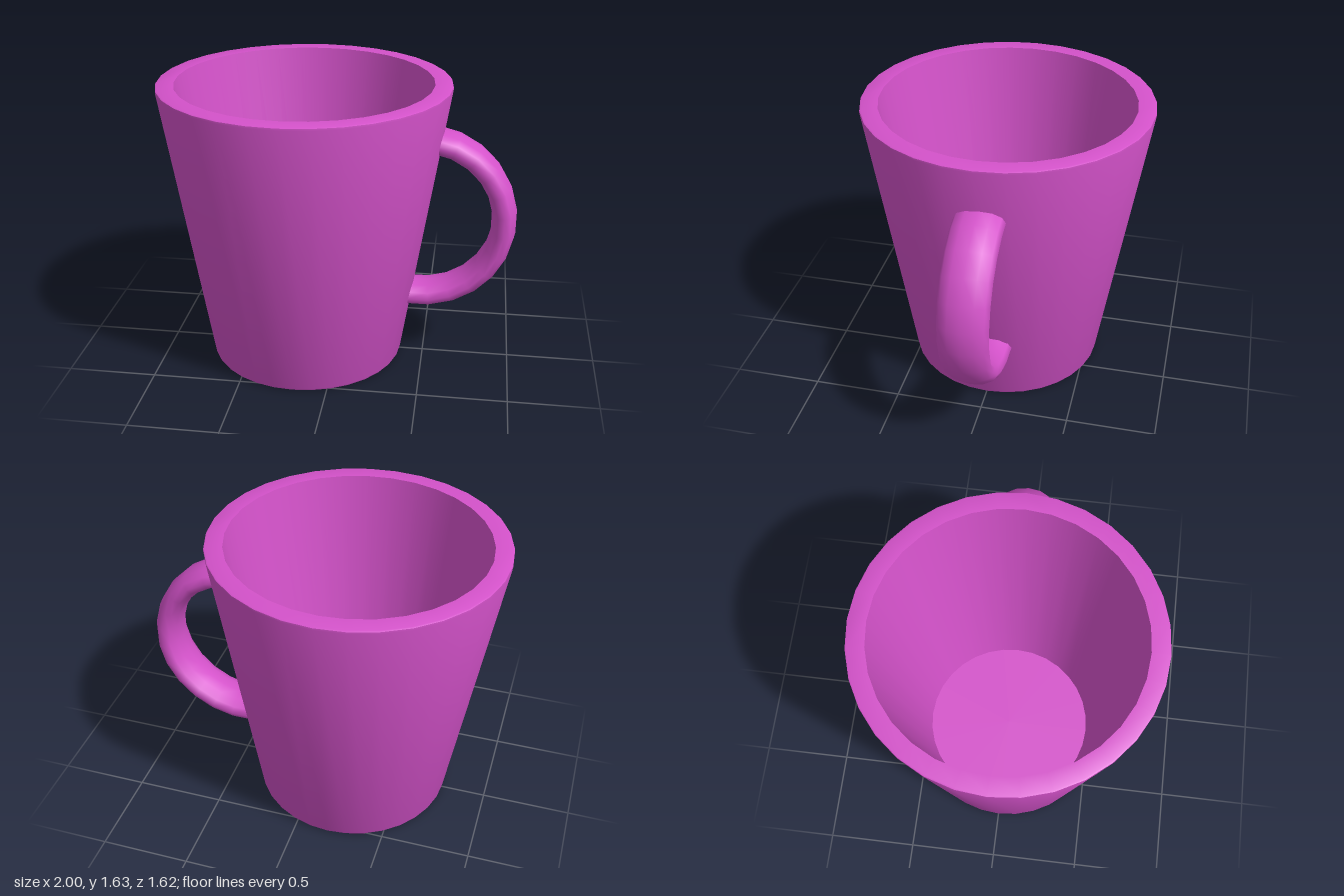
import * as THREE from 'three';
import { toCreasedNormals } from 'three/addons/utils/BufferGeometryUtils.js';

export function createModel() {
  const model = new THREE.Group();
  model.name = 'mug';
  const glaze = new THREE.MeshStandardMaterial({ color: 0xd452ca });
  glaze.name = 'pink glaze';

  // Hollow tapered cup: underside, outer wall, rim, inner wall, floor
  const profile = [
    [0, 0], [0.54, 0], [0.55, 0.004], [0.556, 0.015],
    [0.809, 1.615], [0.808, 1.626], [0.8, 1.63],
    [0.71, 1.63], [0.48, 0.16], [0, 0.16],
  ].map(([r, y]) => new THREE.Vector2(r, y));
  const cup = new THREE.Mesh(
    toCreasedNormals(new THREE.LatheGeometry(profile, 32), Math.PI / 6), glaze);
  cup.name = 'cup';
  cup.position.x = -0.19;
  model.add(cup);

  // Half-ring handle, widened in depth, ends buried in the wall
  const ring = new THREE.TorusGeometry(0.469, 0.07, 12, 12, Math.PI);
  ring.rotateZ(THREE.MathUtils.degToRad(-97.5));
  ring.scale(1, 1, 0.136 / 0.07);
  const handle = new THREE.Mesh(ring, glaze);
  handle.name = 'handle';
  handle.position.set(0.465, 0.855, -0.02);
  model.add(handle);

  return model;
}
